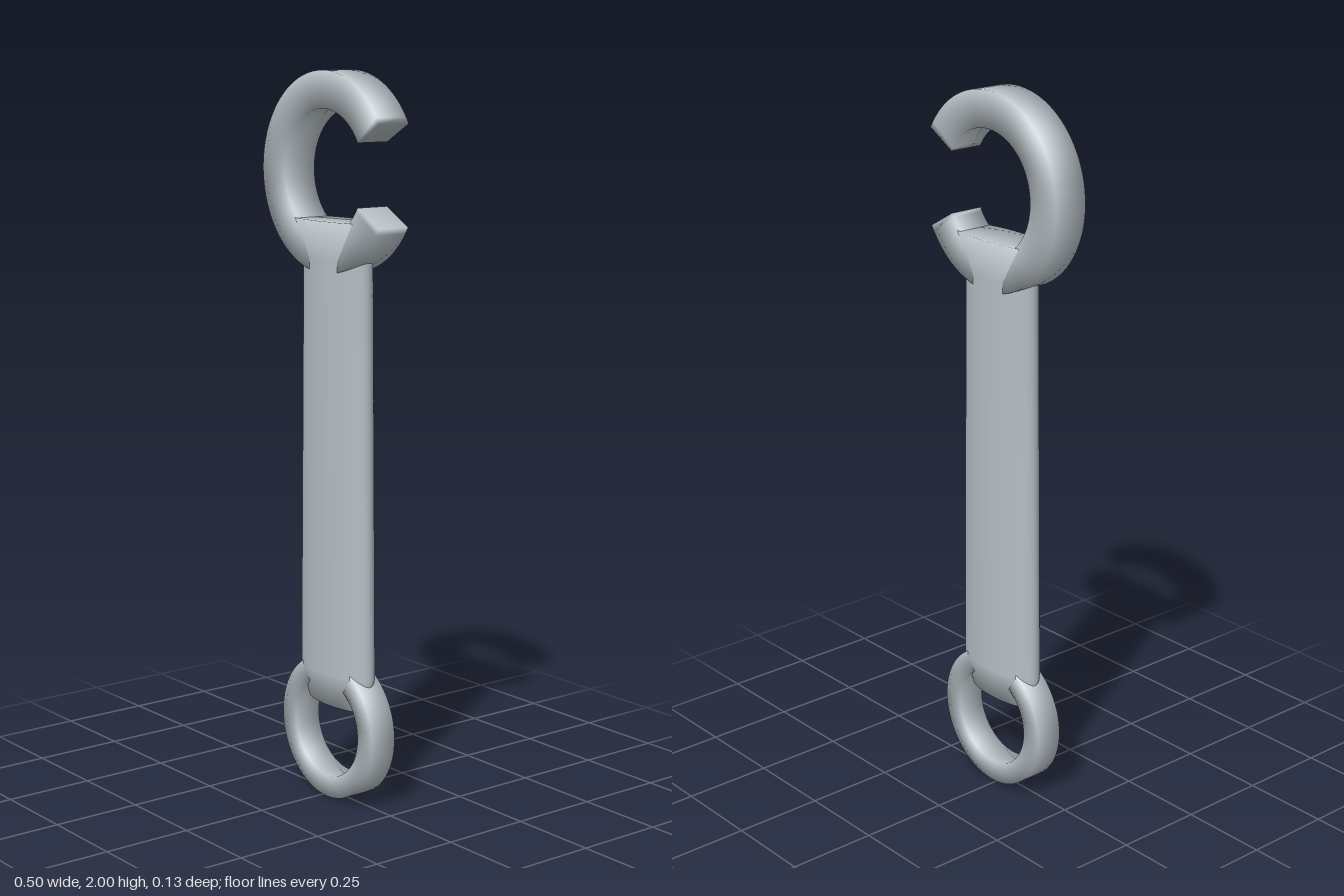
import * as THREE from 'three';
import { mergeVertices } from 'three/addons/utils/BufferGeometryUtils.js';

const CX = 0.018; // the shared centre line of all parts

// Weld all corners, so that shading runs softly over every edge and end face
function soften(geometry) {
  geometry.deleteAttribute('normal');
  geometry.deleteAttribute('uv');
  const welded = mergeVertices(geometry, 1e-4);
  welded.computeVertexNormals();
  return welded;
}

// Square-section ring in the xy plane; angle 0 is the bottom, running counterclockwise
function ringGeometry(inner, outer, halfDepth, start = 0, length = Math.PI * 2) {
  const profile = [
    [outer, -halfDepth], [outer, halfDepth], [inner, halfDepth], [inner, -halfDepth], [outer, -halfDepth],
  ].map(([r, y]) => new THREE.Vector2(r, y));
  const segments = 72;
  const geometry = new THREE.LatheGeometry(profile, segments, start, length);
  geometry.rotateX(Math.PI / 2);
  if (length < Math.PI * 2) {
    // flat ends of an open ring
    const e = segments * profile.length;
    geometry.setIndex([...geometry.index.array, 0, 1, 2, 0, 2, 3, e + 2, e + 1, e, e + 3, e + 2, e]);
  }
  return soften(geometry);
}

// Elliptical bar whose half width and half depth follow rows of [y, halfWidth, halfDepth]
function barGeometry(rows) {
  const sides = 64;
  const steps = rows.length - 1;
  const geometry = new THREE.CylinderGeometry(1, 1, 1, sides, steps, true, Math.PI / 2);
  const p = geometry.attributes.position;
  for (let i = 0; i < p.count; i++) {
    const [y, w, d] = rows[Math.round((p.getY(i) + 0.5) * steps)];
    p.setXYZ(i, p.getX(i) * w, y, p.getZ(i) * d);
  }
  // end faces as strips from back to front
  const index = [...geometry.index.array];
  const foot = steps * (sides + 1);
  for (let a = 0; a < sides / 2; a++) {
    const b = a + 1, c = sides - b, d = sides - a;
    index.push(a, b, c, a, c, d);
    index.push(foot + c, foot + b, foot + a, foot + d, foot + c, foot + a);
  }
  geometry.setIndex(index);
  return soften(geometry);
}

export function createModel() {
  const steel = new THREE.MeshStandardMaterial({ color: 0xb7c0c6 });
  steel.name = 'light steel grey';
  const model = new THREE.Group();
  model.name = 'hookedLink';

  const add = (name, geometry, y) => {
    const mesh = new THREE.Mesh(geometry, steel);
    mesh.name = name;
    mesh.position.set(CX, y, 0);
    model.add(mesh);
  };

  // Flat bar: narrow foot, long gentle taper, flared head inside the hook
  add('bar', barGeometry([
    [0.265, 0.118, 0.038],
    [0.36, 0.148, 0.056],
    [1.5, 0.133, 0.056],
    [1.605, 0.205, 0.063],
  ]), 0);

  // Closed ring at the foot
  add('footRing', ringGeometry(0.138, 0.2, 0.04), 0.2);

  // Open hook at the head, with a gap on its left
  const gap = Math.PI / 6;
  add('hook', ringGeometry(0.168, 0.268, 0.05, Math.PI / 2 + gap, Math.PI * 2 - gap * 2), 1.732);

  return model;
}
